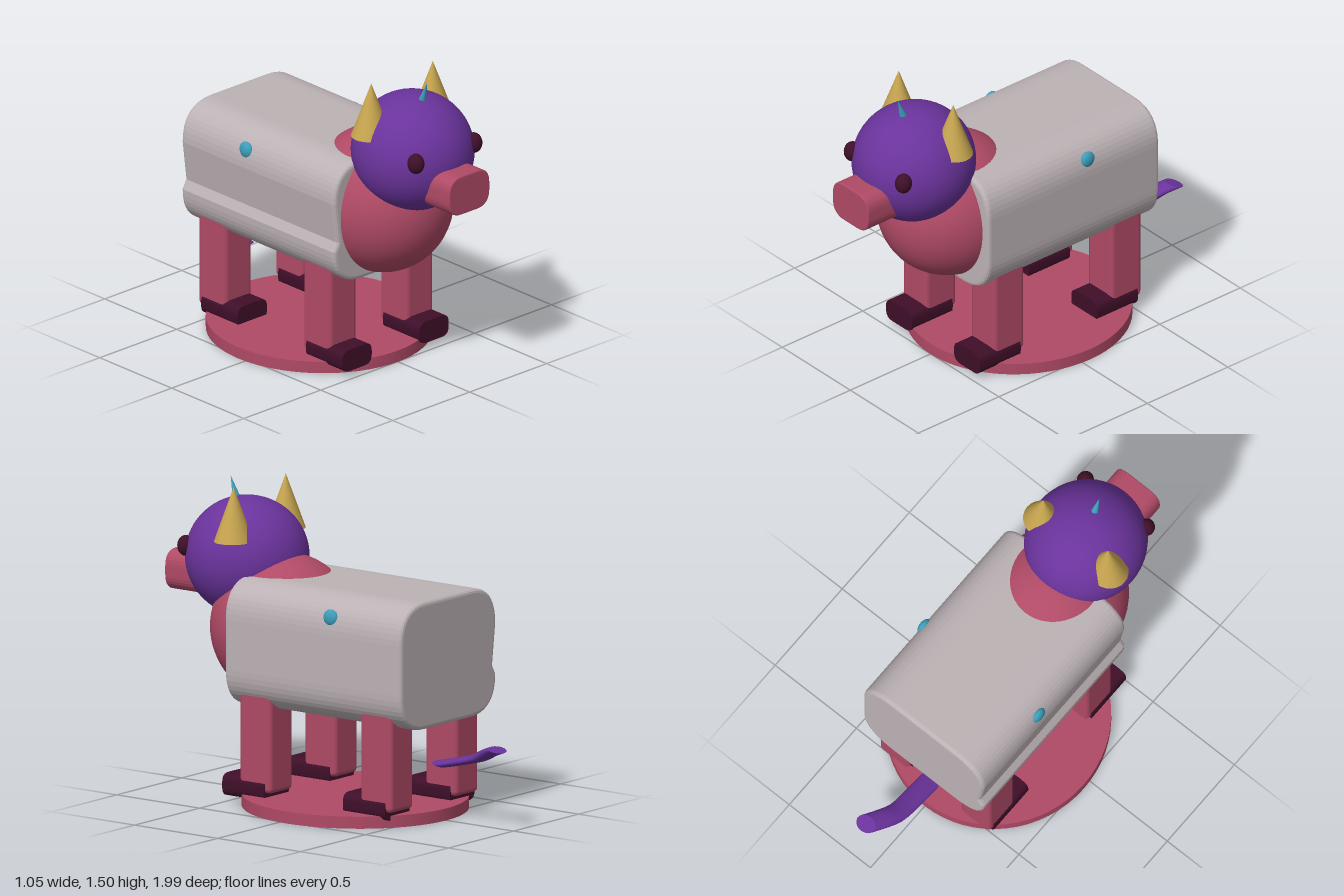
import * as THREE from 'three';
import { RoundedBoxGeometry } from 'three/addons/geometries/RoundedBoxGeometry.js';

const paint = (name, color) => {
  const m = new THREE.MeshStandardMaterial({ color });
  m.name = name;
  return m;
};

// Rectangle with rounded corners, centred on the origin
function roundedRect(w, h, r) {
  const s = new THREE.Shape(), x = w / 2, y = h / 2;
  s.moveTo(-x, -y + r);
  s.lineTo(-x, y - r);
  s.quadraticCurveTo(-x, y, -x + r, y);
  s.lineTo(x - r, y);
  s.quadraticCurveTo(x, y, x, y - r);
  s.lineTo(x, -y + r);
  s.quadraticCurveTo(x, -y, x - r, -y);
  s.lineTo(-x + r, -y);
  s.quadraticCurveTo(-x, -y, -x, -y + r);
  return s;
}

// Barrel cross-section, with a shallow crease low on one flank
function bodyShape() {
  const x = 0.35, lo = 0.49, hi = 1.07, r = 0.17;
  const s = new THREE.Shape();
  s.moveTo(-x + 0.025, 0.695);
  s.lineTo(-x, hi - r);
  s.quadraticCurveTo(-x, hi, -x + r, hi);
  s.lineTo(x - r, hi);
  s.quadraticCurveTo(x, hi, x, hi - r);
  s.lineTo(x, lo + r);
  s.quadraticCurveTo(x, lo, x - r, lo);
  s.lineTo(-x + r, lo);
  s.quadraticCurveTo(-x, lo, -x, 0.65);
  return s;
}

// Tail swept from near-level elliptical sections along a rising curve
function tailGeometry() {
  const path = new THREE.CatmullRomCurve3([
    [0, 0.27, -0.565], [0, 0.3, -0.69], [0.005, 0.332, -0.8],
    [0.03, 0.37, -0.88], [0.065, 0.398, -0.955],
  ].map((p) => new THREE.Vector3(...p)));
  const rings = 16, sides = 16, pos = [], index = [];
  for (let i = 0; i <= rings; i++) {
    const c = path.getPoint(i / rings);
    for (let j = 0; j < sides; j++) {
      const a = (j / sides) * Math.PI * 2, dz = Math.sin(a) * 0.038;
      pos.push(c.x + Math.cos(a) * 0.052, c.y + dz * 0.3, c.z + dz);
      if (i === rings) continue;
      const k = (j + 1) % sides, p = i * sides, q = p + sides;
      index.push(p + j, q + j, p + k, p + k, q + j, q + k);
    }
  }
  // end caps, on their own vertices so the rims stay sharp
  for (const [ring, top] of [[0, false], [rings, true]]) {
    const start = pos.length / 3, from = ring * sides * 3;
    pos.push(...pos.slice(from, from + sides * 3));
    for (let j = 1; j < sides - 1; j++) {
      if (top) index.push(start, start + j + 1, start + j);
      else index.push(start, start + j, start + j + 1);
    }
  }
  const g = new THREE.BufferGeometry();
  g.setAttribute('position', new THREE.Float32BufferAttribute(pos, 3));
  g.setIndex(index);
  g.computeVertexNormals();
  return g;
}

export function createModel() {
  const model = new THREE.Group();
  model.name = 'hornedAnimal';
  const pink = paint('rosePink', 0xb04a66);
  const purple = paint('purple', 0x6a339c);
  const grey = paint('warmGrey', 0xbcb2b5);
  const gold = paint('gold', 0xc8a650);
  const blue = paint('tealBlue', 0x3d9fbc);
  const dark = paint('darkMaroon', 0x3f0f29);

  const add = (name, geometry, material, x = 0, y = 0, z = 0) => {
    const mesh = new THREE.Mesh(geometry, material);
    mesh.name = name;
    mesh.position.set(x, y, z);
    model.add(mesh);
    return mesh;
  };
  const ellipsoid = (rx, ry, rz, seg = 32) =>
    new THREE.SphereGeometry(1, seg, seg * 0.75).scale(rx, ry, rz);

  // Stand
  add('base', new THREE.CylinderGeometry(1, 1, 0.058, 64).scale(0.526, 1, 0.549), pink, 0, 0.029, -0.047);

  // Body and chest
  add('body', new THREE.ExtrudeGeometry(bodyShape(), {
    depth: 1.025, curveSegments: 12, bevelThickness: 0.02, bevelSize: 0.02, bevelSegments: 3,
  }), grey, 0, 0, -0.59);
  add('chest', ellipsoid(0.335, 0.358, 0.362, 48), pink, 0, 0.813, 0.383);

  // Head and snout
  add('head', ellipsoid(0.29, 0.29, 0.3, 48), purple, 0, 1.129, 0.605);
  add('snout', new THREE.ExtrudeGeometry(roundedRect(0.25, 0.185, 0.075), {
    depth: 0.24, curveSegments: 8, bevelThickness: 0.005, bevelSize: 0.006, bevelSegments: 2,
  }), pink, 0, 1.029, 0.755);

  // Forehead spike, leaning forward
  add('foreheadSpike', new THREE.ConeGeometry(0.026, 0.15, 16), blue, 0, 1.434, 0.681).rotation.x = 0.33;

  // Tail
  add('tail', tailGeometry(), purple);

  const hoofShape = roundedRect(0.19, 0.11, 0.045);
  for (const side of [1, -1]) {
    const label = side > 0 ? 'left' : 'right';
    add(label + 'Horn', new THREE.ConeGeometry(0.1, 0.263, 24).scale(1, 1, 0.92), gold, side * 0.2, 1.373, 0.53);
    add(label + 'Eye', ellipsoid(0.04, 0.05, 0.042, 24), dark, side * 0.188, 1.18, 0.828);
    add(label + 'Stud', ellipsoid(0.022, 0.041, 0.041, 24), blue, side * 0.352, 0.985, -0.175);

    // Legs and hooves, front and back
    for (const [end, legZ] of [['Front', 0.296], ['Back', -0.432]]) {
      add(label + end + 'Leg', new RoundedBoxGeometry(0.18, 0.56, 0.192, 2, 0.025), pink, side * 0.25, 0.355, legZ);
      add(label + end + 'Hoof', new THREE.ExtrudeGeometry(hoofShape, {
        depth: 0.254, curveSegments: 6, bevelEnabled: false,
      }), dark, side * 0.25, 0.09, legZ - 0.064);
    }
  }
  return model;
}
